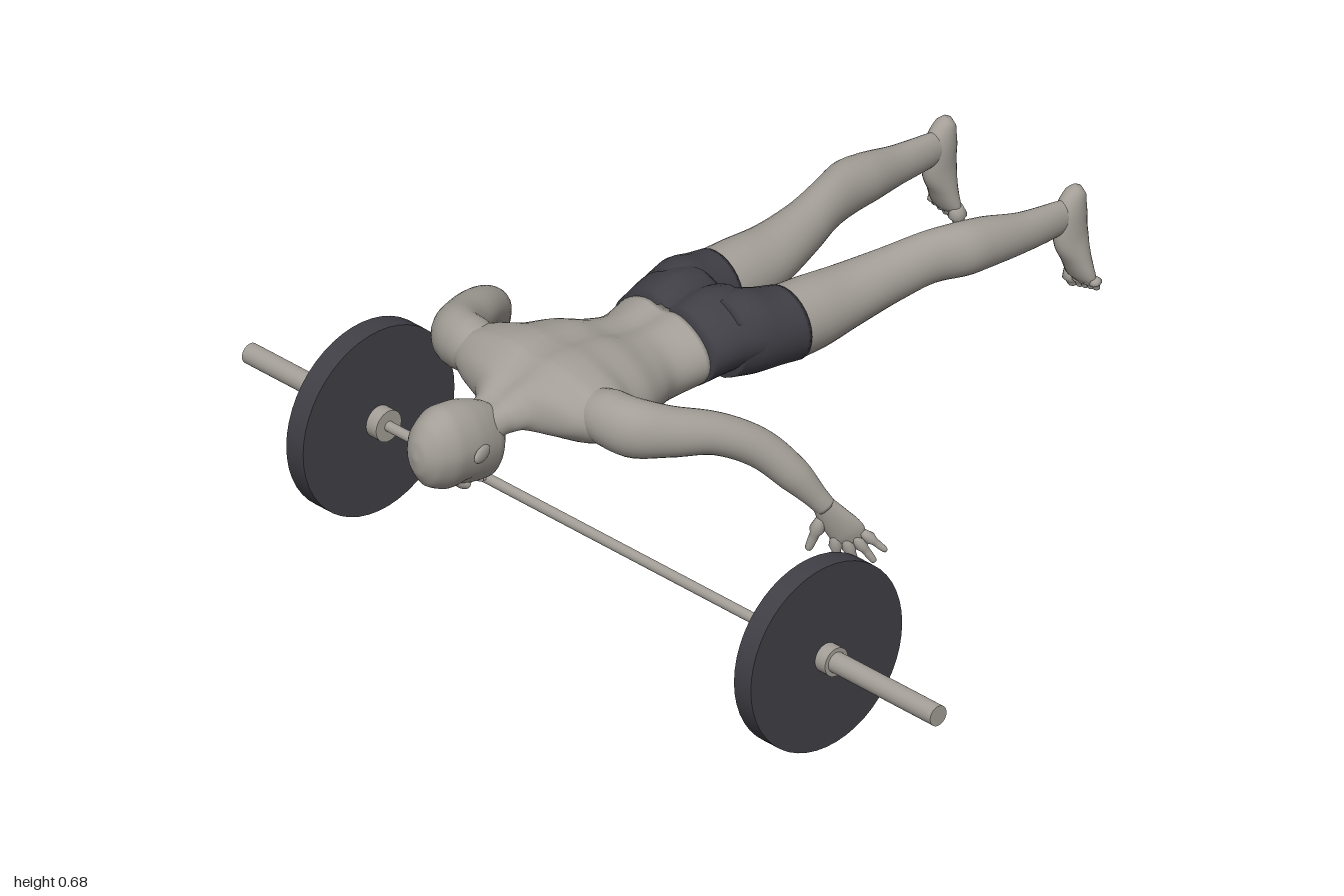
import * as THREE from 'three';

const paleGrey = new THREE.MeshStandardMaterial({ color: 0xa39e97 });
paleGrey.name = 'paleGrey';
const charcoal = new THREE.MeshStandardMaterial({ color: 0x403f46 });
charcoal.name = 'charcoal';

const DOWN_BODY = new THREE.Vector3(0, 0, -1);

// Smooth skin over elliptical stations [x, y, z, width radius, depth radius].
// hint: width direction; axis: optional fixed ring normal; bend: optional vertex rule; s: mirror sign.
function loft(stations, { hint = [1, 0, 0], axis, bend, s = 1, sides = 28, steps = 5 } = {}) {
  const path = new THREE.CatmullRomCurve3(stations.map(p => new THREE.Vector3(p[0] * s, p[1], p[2])));
  const size = new THREE.CatmullRomCurve3(stations.map(p => new THREE.Vector3(p[3], p[4], 0)));
  const rows = (stations.length - 1) * steps;
  const pos = [], index = [];
  for (let i = 0; i <= rows; i++) {
    const c = path.getPoint(i / rows), r = size.getPoint(i / rows);
    const t = axis ? axis.clone() : path.getTangent(i / rows);
    const u = new THREE.Vector3(hint[0] * s, hint[1], hint[2]);
    u.addScaledVector(t, -u.dot(t)).normalize();
    const v = t.clone().cross(u);
    for (let j = 0; j < sides; j++) {
      const a = (j / sides) * Math.PI * 2;
      const p = c.clone().addScaledVector(u, r.x * Math.cos(a)).addScaledVector(v, r.y * Math.sin(a));
      if (bend) bend(p, c);
      pos.push(p.x, p.y, p.z);
    }
  }
  for (let i = 0; i < rows; i++) {
    for (let j = 0; j < sides; j++) {
      const k = (j + 1) % sides;
      const a = i * sides + j, b = i * sides + k, c = b + sides, d = a + sides;
      index.push(a, b, d, b, c, d);
    }
  }
  // End caps
  const first = pos.length / 3, last = first + 1;
  const p0 = path.getPoint(0), p1 = path.getPoint(1);
  pos.push(p0.x, p0.y, p0.z, p1.x, p1.y, p1.z);
  for (let j = 0; j < sides; j++) {
    const k = (j + 1) % sides;
    index.push(first, k, j, last, rows * sides + j, rows * sides + k);
  }
  const g = new THREE.BufferGeometry();
  g.setAttribute('position', new THREE.Float32BufferAttribute(pos, 3));
  g.setIndex(index);
  g.computeVertexNormals();
  return g;
}

export function createModel() {
  const model = new THREE.Group();
  model.name = 'athleteOverBarbell';
  const add = (name, geometry, material = paleGrey, parent = model) => {
    const m = new THREE.Mesh(geometry, material);
    m.name = name;
    parent.add(m);
    return m;
  };

  // Shallow furrow along the middle of the back and front
  const furrow = (top, bottom, width) => (p, c) => {
    const f = Math.exp(-((p.x / width) ** 2));
    p.y -= p.y > c.y ? top * f : -bottom * f;
  };

  // Torso and neck
  add('torso', loft([
    [0, .575, .645, .048, .045], [0, .583, .605, .055, .045], [0, .595, .575, .085, .05],
    [0, .6, .545, .17, .06], [0, .602, .5, .235, .083], [0, .598, .45, .232, .09],
    [0, .58, .4, .2, .102], [0, .574, .34, .178, .1], [0, .565, .28, .148, .09],
    [0, .562, .22, .125, .086], [0, .573, .14, .14, .086],
  ], { axis: DOWN_BODY, sides: 48, bend: furrow(.013, .006, .03) }));

  // Head, narrowing toward the face
  const head = new THREE.Group();
  head.name = 'head';
  model.add(head);
  add('skull', loft([
    [0, .56, .818, .004, .005], [0, .56, .812, .026, .036], [0, .56, .79, .05, .07],
    [0, .56, .745, .067, .091], [0, .555, .7, .067, .092], [0, .545, .66, .061, .09],
    [0, .537, .63, .053, .084], [0, .535, .612, .042, .073], [0, .548, .6, .03, .045],
  ], {
    axis: DOWN_BODY, sides: 40,
    bend: (p, c) => {
      if (p.y < c.y) p.x *= 1 - 1.6 * (c.y - p.y);
      // Eye hollows
      const e = ((Math.abs(p.x) - .026) / .013) ** 2 + ((p.z - .708) / .012) ** 2;
      if (p.y < c.y) p.y += .01 * Math.exp(-e);
    },
  }), paleGrey, head);
  add('nose', loft([
    [0, .472, .715, .005, .005], [0, .46, .695, .009, .012], [0, .456, .68, .014, .013], [0, .466, .671, .008, .006],
  ], { axis: DOWN_BODY, sides: 16 }), paleGrey, head);
  for (const z of [.65, .642]) {
    const lip = add('lip', new THREE.SphereGeometry(1, 16, 10), paleGrey, head);
    lip.scale.set(.02, .008, .005);
    lip.position.set(0, .457, z);
  }

  // Shorts: seat
  add('shortsSeat', loft([
    [0, .574, .148, .142, .088], [0, .587, .07, .157, .094], [0, .583, .01, .168, .088], [0, .578, -.015, .155, .07],
  ], { axis: DOWN_BODY, sides: 48, bend: furrow(.022, .004, .025) }), charcoal);

  for (const s of [1, -1]) {
    const side = s > 0 ? 'left' : 'right';
    const limb = new THREE.Group();
    limb.name = side + 'Limbs';
    model.add(limb);

    add(side + 'ShortsLeg', loft([
      [.08, .582, .07, .07, .085], [.088, .58, .01, .082, .09], [.094, .573, -.04, .083, .083], [.1, .566, -.088, .08, .08],
    ], { axis: DOWN_BODY, s }), charcoal, limb);

    add(side + 'Leg', loft([
      [.1, .566, -.08, .078, .078], [.104, .567, -.15, .073, .077], [.11, .573, -.24, .065, .066],
      [.127, .588, -.346, .052, .058], [.148, .603, -.43, .046, .055], [.169, .604, -.5, .049, .057],
      [.176, .6, -.565, .045, .053], [.184, .591, -.65, .033, .043], [.187, .588, -.74, .024, .037],
      [.188, .59, -.795, .02, .028],
    ], { axis: DOWN_BODY, s }), paleGrey, limb);

    // Foot hanging down from the heel
    add(side + 'Foot', loft([
      [.189, .645, -.795, .008, .008], [.189, .632, -.79, .021, .022], [.189, .59, -.776, .027, .039],
      [.191, .54, -.774, .028, .04], [.194, .49, -.785, .035, .028], [.196, .45, -.796, .041, .019],
      [.196, .434, -.801, .037, .011],
    ], { s, sides: 24 }), paleGrey, limb);
    for (let i = 0; i < 5; i++) {
      const x = .166 + i * .0162 + (i ? .004 : 0), r = i ? .0085 : .013, tip = .406 + i * .004;
      add(side + 'Toe', loft([
        [x, .45, -.797, r, r], [x, tip + .014, -.802, r, r], [x, tip + .003, -.804, r * .75, r * .75], [x, tip, -.804, r * .2, r * .2],
      ], { s, sides: 12, steps: 3 }), paleGrey, limb);
    }

    // Arm from shoulder to wrist
    add(side + 'Arm', loft([
      [.15, .612, .485, .045, .045], [.2, .608, .478, .059, .056], [.252, .602, .465, .062, .055],
      [.3, .591, .41, .053, .048], [.345, .573, .325, .043, .044], [.39, .53, .25, .04, .04],
      [.435, .47, .2, .036, .034], [.465, .42, .168, .025, .022], [.478, .395, .152, .022, .018],
    ], { hint: [0, 1, 0], s }), paleGrey, limb);

    // Hand with spread fingers
    const across = [-.67, 0, .74];
    add(side + 'Palm', loft([
      [.472, .407, .16, .021, .018], [.487, .368, .138, .032, .016], [.501, .335, .117, .037, .014], [.508, .313, .107, .029, .008],
    ], { hint: across, s, sides: 20 }), paleGrey, limb);
    const fingers = [
      [[.472, .37, .157], [.45, .295, .175], .0105],
      [[.486, .33, .134], [.485, .254, .128], .0095],
      [[.498, .325, .12], [.515, .249, .1], .0095],
      [[.511, .326, .106], [.54, .267, .077], .009],
      [[.521, .335, .095], [.556, .292, .06], .008],
    ];
    for (const [a, b, r] of fingers) {
      const at = (k, f) => [...a.map((n, i) => n + (b[i] - n) * k), r * f, r * f];
      add(side + 'Finger', loft([at(0, 1), at(.5, 1), at(.9, .8), at(.98, .5), at(1, .15)],
        { hint: across, s, sides: 12, steps: 3 }), paleGrey, limb);
    }

    const ear = add(side + 'Ear', new THREE.SphereGeometry(1, 20, 14), paleGrey, head);
    ear.scale.set(.008, .017, .029);
    ear.position.set(s * .07, .556, .7);
    ear.rotation.y = s * .3;
  }

  // Barbell
  const barbell = new THREE.Group();
  barbell.name = 'barbell';
  barbell.position.set(0, .205, .333);
  model.add(barbell);
  const rod = (name, x0, x1, r, material) => {
    const g = new THREE.CylinderGeometry(r, r, x1 - x0, 48);
    g.rotateZ(Math.PI / 2);
    g.translate((x0 + x1) / 2, 0, 0);
    add(name, g, material, barbell);
  };
  rod('bar', -.62, .62, .011, paleGrey);
  for (const s of [1, -1]) {
    const piece = (name, a, b, r, m = paleGrey) => rod(name, Math.min(s * a, s * b), Math.max(s * a, s * b), r, m);
    piece('innerCollar', .597, .628, .034);
    piece('weightPlate', .626, .675, .204, charcoal);
    piece('outerCollar', .673, .704, .031);
    piece('sleeve', .7, 1, .022);
  }
  return model;
}
